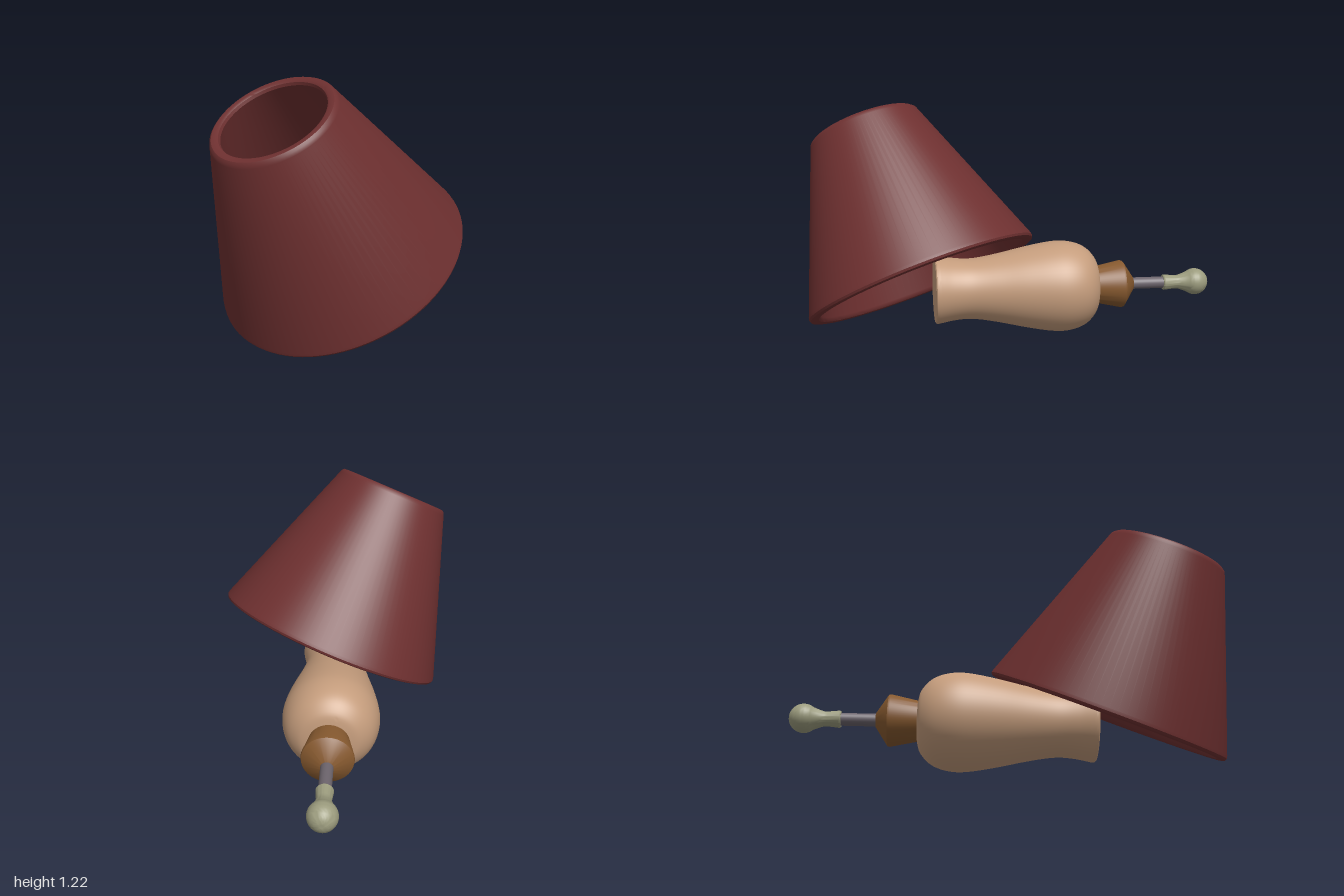
import * as THREE from 'three';
import { toCreasedNormals } from 'three/addons/utils/BufferGeometryUtils.js';

const mat = (name, color) => {
  const m = new THREE.MeshStandardMaterial({ color });
  m.name = name;
  return m;
};

const vec = (pts) => pts.map(([r, h]) => new THREE.Vector2(r, h));
const smooth = (pts, n) => new THREE.SplineCurve(vec(pts)).getPoints(n);

// Turned part: profile of [radius, height] running up the outside
function turned(name, points, material, sides = 64) {
  const geo = toCreasedNormals(new THREE.LatheGeometry(points, sides), 0.6);
  const mesh = new THREE.Mesh(geo, material);
  mesh.name = name;
  return mesh;
}

// Group whose local y axis points along dir, starting at origin
function alongAxis(name, origin, dir) {
  const g = new THREE.Group();
  g.name = name;
  g.position.set(...origin);
  g.quaternion.setFromUnitVectors(new THREE.Vector3(0, 1, 0), new THREE.Vector3(...dir).normalize());
  return g;
}

export function createModel() {
  const model = new THREE.Group();
  model.name = 'tableLamp';
  const maroon = mat('maroon', 0x6e3030);
  const tan = mat('tan', 0xc49c7c);
  const brown = mat('brown', 0x86592f);
  const steel = mat('steel', 0x6c646c);
  const olive = mat('olive', 0x9c9c7e);

  // Tilted open shade: outer wall up, rounded rim, inner wall down, rounded rim
  const shade = alongAxis('shadeGroup', [0.12, 0.312, 0.33], [-0.135, 0.765, 0.41]);
  shade.add(turned('shade', vec([
    [0.56, 0.0], [0.57, -0.008], [0.598, -0.01], [0.612, -0.005], [0.617, 0.006], [0.614, 0.02],
    [0.307, 0.855], [0.301, 0.87], [0.29, 0.879], [0.268, 0.88], [0.258, 0.874], [0.253, 0.86],
    [0.555, 0.012], [0.56, 0.0],
  ]), maroon, 96));
  model.add(shade);

  // Base lying on its side; axis starts at the centre of the end knob
  const base = alongAxis('baseGroup', [-0.665, 0.246, -0.925], [0.507, 0, 0.862]);

  // Ball knob flowing into a short ferrule
  const ball = [];
  for (let i = 0; i <= 18; i++) {
    const a = -Math.PI / 2 + (i / 18) * 2.25;
    ball.push(new THREE.Vector2(Math.max(0, 0.071 * Math.cos(a)), 0.071 * Math.sin(a)));
  }
  base.add(turned('knob', [...ball, ...vec([
    [0.047, 0.066], [0.041, 0.082], [0.036, 0.1], [0.036, 0.115], [0.042, 0.172], [0.038, 0.178], [0, 0.178],
  ])], olive, 40));

  // Thin rod
  const rod = new THREE.Mesh(new THREE.CylinderGeometry(0.031, 0.031, 0.22, 32), steel);
  rod.name = 'rod';
  rod.position.y = 0.27;
  base.add(rod);

  // Collar with a conical end
  base.add(turned('collar', vec([
    [0, 0.342], [0.035, 0.345], [0.118, 0.4], [0.125, 0.406], [0.127, 0.416],
    [0.1, 0.545], [0.1, 0.57], [0, 0.57],
  ]), brown));

  // Vase-shaped body, flared at the foot with a flat underside
  const body = smooth([
    [0.1, 0.546], [0.15, 0.56], [0.2, 0.603], [0.229, 0.66], [0.242, 0.735], [0.236, 0.82], [0.214, 0.94],
    [0.185, 1.07], [0.165, 1.18], [0.16, 1.25], [0.166, 1.32], [0.176, 1.375], [0.181, 1.4],
  ], 60);
  base.add(turned('body', [
    new THREE.Vector2(0, 0.546), ...body, ...vec([[0.179, 1.411], [0.172, 1.416], [0, 1.416]]),
  ], tan));
  model.add(base);

  return model;
}
